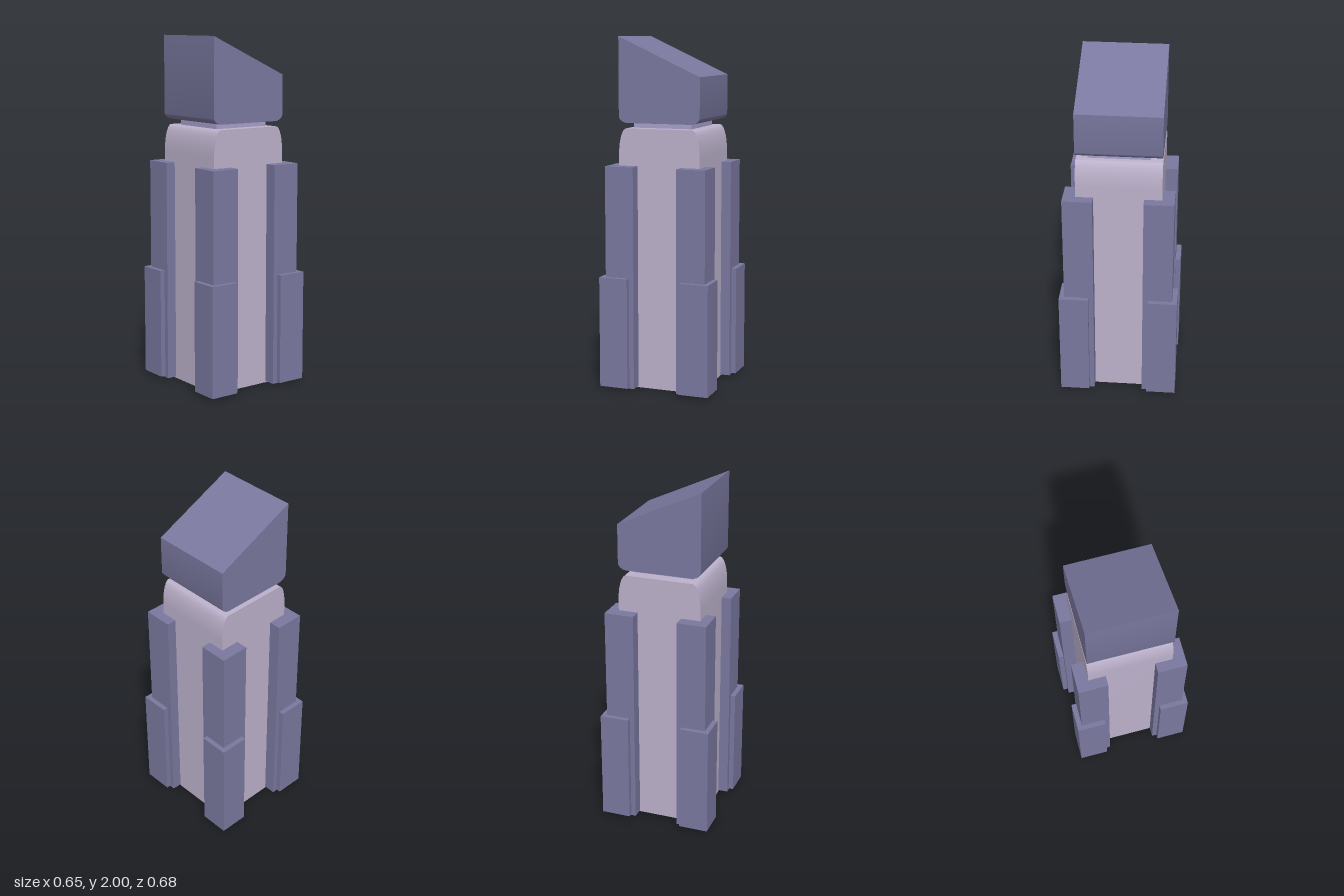
import * as THREE from 'three';
import { toCreasedNormals } from 'three/addons/utils/BufferGeometryUtils.js';

const slate = new THREE.MeshStandardMaterial({ color: 0x7a789f });
const lilac = new THREE.MeshStandardMaterial({ color: 0xbcb1cb });
const paleViolet = new THREE.MeshStandardMaterial({ color: 0xa8a0cc });

const HALF = 0.24; // half width of the tower and cap

// Extrudes an x-y outline through the depth, centred on z = 0
function slab(name, shape, material) {
  const geometry = new THREE.ExtrudeGeometry(shape, {
    depth: HALF * 2, bevelEnabled: false, curveSegments: 10,
  });
  geometry.translate(0, 0, -HALF);
  const mesh = new THREE.Mesh(toCreasedNormals(geometry, 0.6), material);
  mesh.name = name;
  return mesh;
}

// Box given by its minimum and maximum corners
function box(name, [x0, y0, z0], [x1, y1, z1], material) {
  const mesh = new THREE.Mesh(new THREE.BoxGeometry(x1 - x0, y1 - y0, z1 - z0), material);
  mesh.position.set((x0 + x1) / 2, (y0 + y1) / 2, (z0 + z1) / 2);
  mesh.name = name;
  return mesh;
}

export function createModel() {
  const model = new THREE.Group();
  model.name = 'tower';

  // Main shaft with tall, softly rounded shoulders
  const shaft = new THREE.Shape();
  const rx = 0.045, ry = 0.15, top = 1.49;
  shaft.moveTo(-HALF, 0);
  shaft.lineTo(HALF, 0);
  shaft.lineTo(HALF, top - ry);
  shaft.absellipse(HALF - rx, top - ry, rx, ry, 0, Math.PI / 2, false, 0);
  shaft.lineTo(-HALF + rx, top);
  shaft.absellipse(-HALF + rx, top - ry, rx, ry, Math.PI / 2, Math.PI, false, 0);
  model.add(slab('shaft', shaft, lilac));

  // Recessed neck between shaft and cap
  model.add(box('neck', [-0.175, 1.47, -0.17], [0.17, 1.54, 0.175], paleViolet));

  // Cap with a sloping roof and rounded lower edges
  const cap = new THREE.Shape();
  const cx = 0.055, cy = 0.04, base = 1.52;
  cap.moveTo(-HALF, 2);
  cap.lineTo(-HALF, base + cy);
  cap.absellipse(-HALF + cx, base + cy, cx, cy, Math.PI, Math.PI * 1.5, false, 0);
  cap.lineTo(HALF - cx, base);
  cap.absellipse(HALF - cx, base + cy, cx, cy, Math.PI * 1.5, Math.PI * 2, false, 0);
  cap.lineTo(HALF, 1.78);
  model.add(slab('cap', cap, slate));

  // Stepped buttress on each corner
  for (const sx of [-1, 1]) {
    for (const sz of [-1, 1]) {
      const buttress = new THREE.Group();
      buttress.name = `${sz > 0 ? 'front' : 'back'}${sx > 0 ? 'Left' : 'Right'}Buttress`;
      const tall = box('tallPier', [0.128, 0.008, 0.141], [0.297, 1.28, 0.31], slate);
      const short = box('shortPier', [0.156, 0.015, 0.17], [0.325, 0.65, 0.339], slate);
      for (const pier of [tall, short]) {
        pier.position.x *= sx;
        pier.position.z *= sz;
        buttress.add(pier);
      }
      model.add(buttress);
    }
  }
  return model;
}
